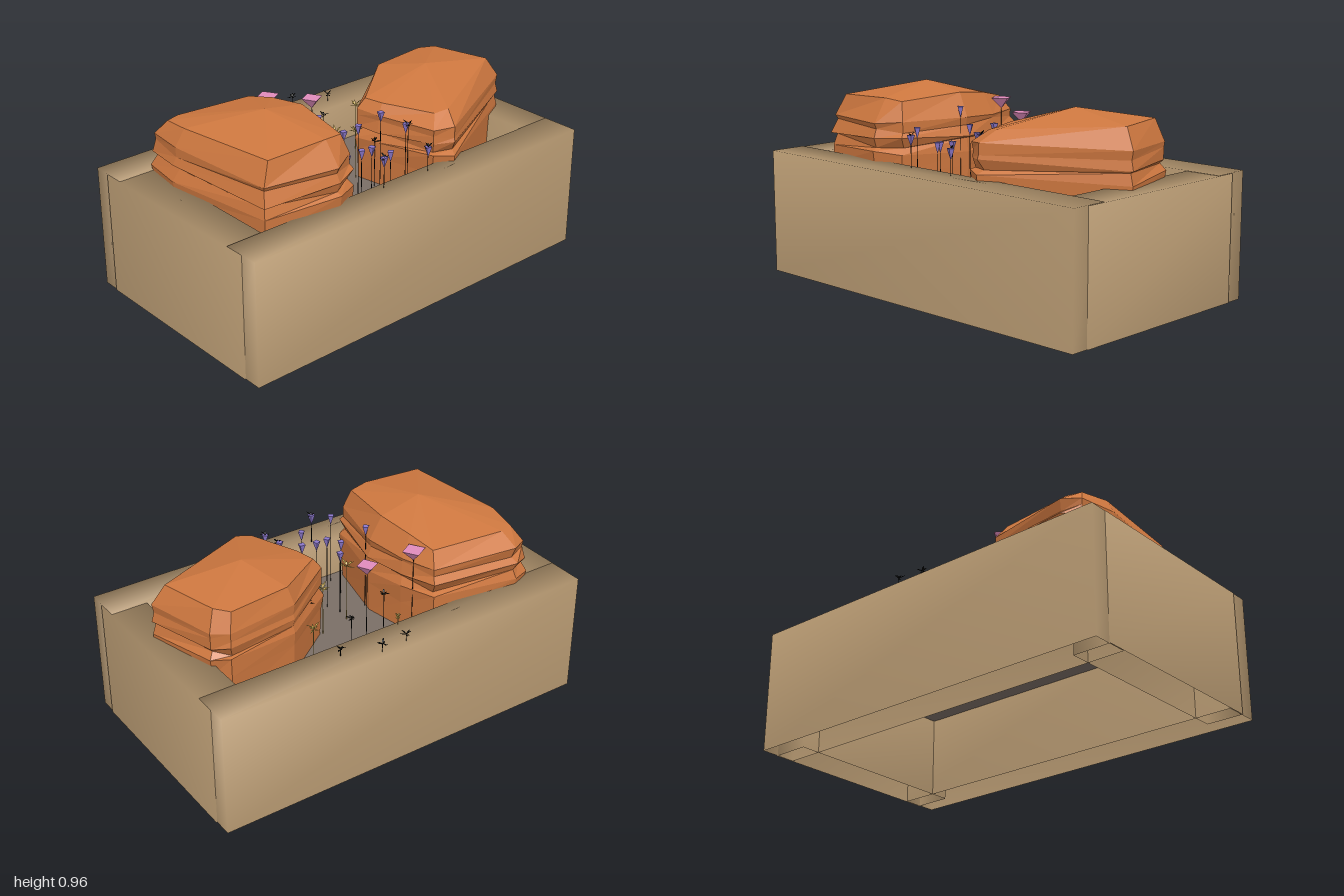
import * as THREE from 'three';
import { mergeVertices } from 'three/addons/utils/BufferGeometryUtils.js';

const mat = (name, color, opts = {}) => {
  const m = new THREE.MeshStandardMaterial({ color, ...opts });
  m.name = name;
  return m;
};

const SOIL_Y = 0.413;

// Box shell without its bottom face, with softly blended normals
function shellGeometry(w, h, d) {
  const box = new THREE.BoxGeometry(w, h, d);
  const faces = Array.from(box.index.array);
  faces.splice(18, 6);
  box.setIndex(faces);
  box.clearGroups();
  box.deleteAttribute('normal');
  box.deleteAttribute('uv');
  const g = mergeVertices(box);
  g.computeVertexNormals();
  return g;
}

// Layered rock: stacked outlines under a shoulder ring and a peak
function boulderGeometry(outline, shoulder, peak, layers) {
  const n = outline.length;
  const pos = [...peak];
  for (const [x, z, y] of shoulder) pos.push(x, y, z);
  layers.forEach(([y, scale, rough], k) => {
    outline.forEach(([x, z], i) => {
      const s = scale + rough * Math.sin(i * 2.3 + k * 1.9);
      const dy = rough * Math.sin(i * 1.7 + k * 2.6);
      pos.push(peak[0] + (x - peak[0]) * s, y + dy, peak[2] + (z - peak[2]) * s);
    });
  });
  const bottom = pos.length / 3;
  pos.push(peak[0], layers[layers.length - 1][0], peak[2]);
  const index = [];
  const at = (k, i) => 1 + k * n + (i % n);
  for (let i = 0; i < n; i++) {
    index.push(0, at(0, i + 1), at(0, i));
    for (let k = 0; k < layers.length; k++) {
      const a = at(k + 1, i), b = at(k + 1, i + 1), c = at(k, i), d = at(k, i + 1);
      index.push(a, c, b, b, c, d);
    }
    index.push(bottom, at(layers.length, i), at(layers.length, i + 1));
  }
  const g = new THREE.BufferGeometry();
  g.setAttribute('position', new THREE.Float32BufferAttribute(pos, 3));
  g.setIndex(index);
  const flat = g.toNonIndexed();
  flat.computeVertexNormals();
  return flat;
}

// Rosette of thin pointed blades fanning out from one point
function tuftGeometry(count, radius, height, seed) {
  const pos = [];
  for (let i = 0; i < count; i++) {
    const a = (i / count) * Math.PI * 2 + seed;
    const r = radius * (0.75 + 0.25 * Math.sin(i * 2.7 + seed));
    const h = height * (0.5 + 0.5 * Math.cos(i * 1.9 + seed));
    const c = Math.cos(a), s = Math.sin(a), w = 0.005;
    const mx = c * r * 0.5, mz = s * r * 0.5;
    const L = [mx - s * w, h * 0.7, mz + c * w], R = [mx + s * w, h * 0.7, mz - c * w];
    pos.push(0, 0, 0, ...L, ...R, ...R, ...L, c * r, h, s * r);
  }
  const g = new THREE.BufferGeometry();
  g.setAttribute('position', new THREE.Float32BufferAttribute(pos, 3));
  g.computeVertexNormals();
  return g;
}

export function createModel() {
  const root = new THREE.Group();
  root.name = 'rockGardenPlanter';
  const wood = mat('wood', 0xb89a72, { side: THREE.DoubleSide });
  const soilMat = mat('soil', 0x7a6e66);
  const rock = mat('rock', 0xcd773f, { flatShading: true });
  const pink = mat('pinkPetal', 0xe08cbc, { flatShading: true, side: THREE.DoubleSide });
  const purple = mat('purplePetal', 0x8c78cc, { flatShading: true, side: THREE.DoubleSide });
  const yellow = mat('dryGrass', 0xc4a850, { side: THREE.DoubleSide });
  const dark = mat('darkLeaf', 0x0c0c08, { side: THREE.DoubleSide });

  const add = (name, geo, material, x = 0, y = 0, z = 0, parent = root) => {
    const m = new THREE.Mesh(geo, material);
    m.name = name;
    m.position.set(x, y, z);
    parent.add(m);
    return m;
  };

  // Hollow planter walls around a sunken bed of soil
  for (const s of [-1, 1]) {
    add(s > 0 ? 'frontWall' : 'backWall', shellGeometry(1.99, 0.615, 0.187), wood, 0, 0.3075, s * 0.4965);
    add(s > 0 ? 'leftWall' : 'rightWall', shellGeometry(0.187, 0.612, 1.0), wood, s * 0.9065, 0.306, 0);
  }
  add('soil', new THREE.BoxGeometry(1.63, 0.006, 0.81), soilMat, 0, SOIL_Y - 0.003, 0);

  // Boulders, reaching down into the bed
  add('tallBoulder', boulderGeometry(
    [[-0.81, -0.41], [-0.72, -0.455], [-0.27, -0.39], [-0.22, -0.2], [-0.185, 0.02],
      [-0.27, 0.38], [-0.4, 0.445], [-0.78, 0.385], [-0.84, -0.2]],
    [[-0.76, -0.34, 0.87], [-0.69, -0.36, 0.87], [-0.31, -0.32, 0.87], [-0.28, -0.18, 0.9], [-0.255, 0.01, 0.92],
      [-0.31, 0.34, 0.9], [-0.41, 0.355, 0.91], [-0.72, 0.34, 0.9], [-0.78, -0.18, 0.89]],
    [-0.48, 0.965, 0.02],
    [[0.8, 0.965, 0.008], [0.765, 0.945, 0.012], [0.72, 1.0, 0.014], [0.69, 0.94, 0.016], [0.65, 1.0, 0.014],
      [0.56, 0.98, 0.01], [SOIL_Y, 0.96, 0]]), rock);
  add('lowBoulder', boulderGeometry(
    [[0.11, -0.03], [0.4, -0.24], [0.76, -0.28], [0.83, -0.22], [0.93, 0.13],
      [0.3, 0.45], [0.21, 0.4], [0.13, 0.1]],
    [[0.15, -0.01, 0.83], [0.42, -0.21, 0.87], [0.73, -0.245, 0.87], [0.79, -0.19, 0.88], [0.865, 0.1, 0.88],
      [0.34, 0.36, 0.84], [0.27, 0.34, 0.83], [0.17, 0.09, 0.83]],
    [0.51, 0.925, 0.03],
    [[0.78, 0.985, 0.006], [0.74, 0.975, 0.01], [0.7, 0.99, 0.012], [0.67, 0.94, 0.016], [0.64, 1.0, 0.012],
      [0.56, 0.98, 0.01], [SOIL_Y, 0.96, 0]]), rock);

  // Plants stand on thin stems rising from the soil
  const stem = (material, x, top, z, parent) => {
    const h = top - SOIL_Y;
    add('stem', new THREE.CylinderGeometry(0.002, 0.002, h, 4), material, x, SOIL_Y + h / 2, z, parent);
  };
  const flower = (name, material, r, h, x, y, z, turn) => {
    const g = new THREE.Group();
    g.name = name;
    stem(dark, x, y - h, z, g);
    const head = add('petals', new THREE.ConeGeometry(r, h, 4), material, x, y - h / 2, z, g);
    head.rotation.set(Math.PI, turn, 0);
    root.add(g);
  };
  flower('pinkFlower', pink, 0.058, 0.055, -0.24, 0.87, -0.265, 0.25);
  flower('pinkFlower', pink, 0.053, 0.055, -0.03, 0.825, -0.19, 0.3);
  [[-0.2, 0.86, 0.06], [-0.065, 0.75, 0.08], [-0.04, 0.8, 0.155], [-0.17, 0.71, 0.225], [-0.05, 0.73, 0.26],
    [-0.195, 0.79, 0.35], [-0.14, 0.77, 0.44], [-0.035, 0.74, 0.37], [0.11, 0.82, 0.145], [0.155, 0.79, 0.27],
    [0.13, 0.74, 0.445]]
    .forEach(([x, y, z], i) => flower('purpleFlower', purple, 0.019, 0.055, x, y, z, i * 0.9));

  const tuft = (name, material, count, r, h, x, y, z, seed) => {
    const g = new THREE.Group();
    g.name = name;
    stem(material, x, y, z, g);
    add('blades', tuftGeometry(count, r, h, seed), material, x, y, z, g);
    root.add(g);
  };

  // Dry grass: x, base of the blades, z, radius
  [[-0.055, 0.71, 0.01, 0.05], [0.11, 0.66, -0.03, 0.04], [0.33, 0.65, -0.28, 0.036], [-0.04, 0.65, -0.42, 0.018]]
    .forEach(([x, y, z, r], i) => tuft('dryGrass', yellow, 12, r, 0.03, x, y, z, i));

  // Dark leaf rosettes: x, base of the blades, z
  [[0.15, 0.655, -0.56], [0.01, 0.65, -0.55], [0.32, 0.65, -0.48], [0.135, 0.645, -0.3], [-0.1, 0.66, -0.23],
    [0.23, 0.66, -0.09], [0.115, 0.65, 0.1], [0.16, 0.785, 0.28], [-0.14, 0.765, 0.44], [0.13, 0.735, 0.445]]
    .forEach(([x, y, z], i) => tuft('darkLeaves', dark, 8, 0.03, 0.02, x, y, z, i * 1.3));

  return root;
}
